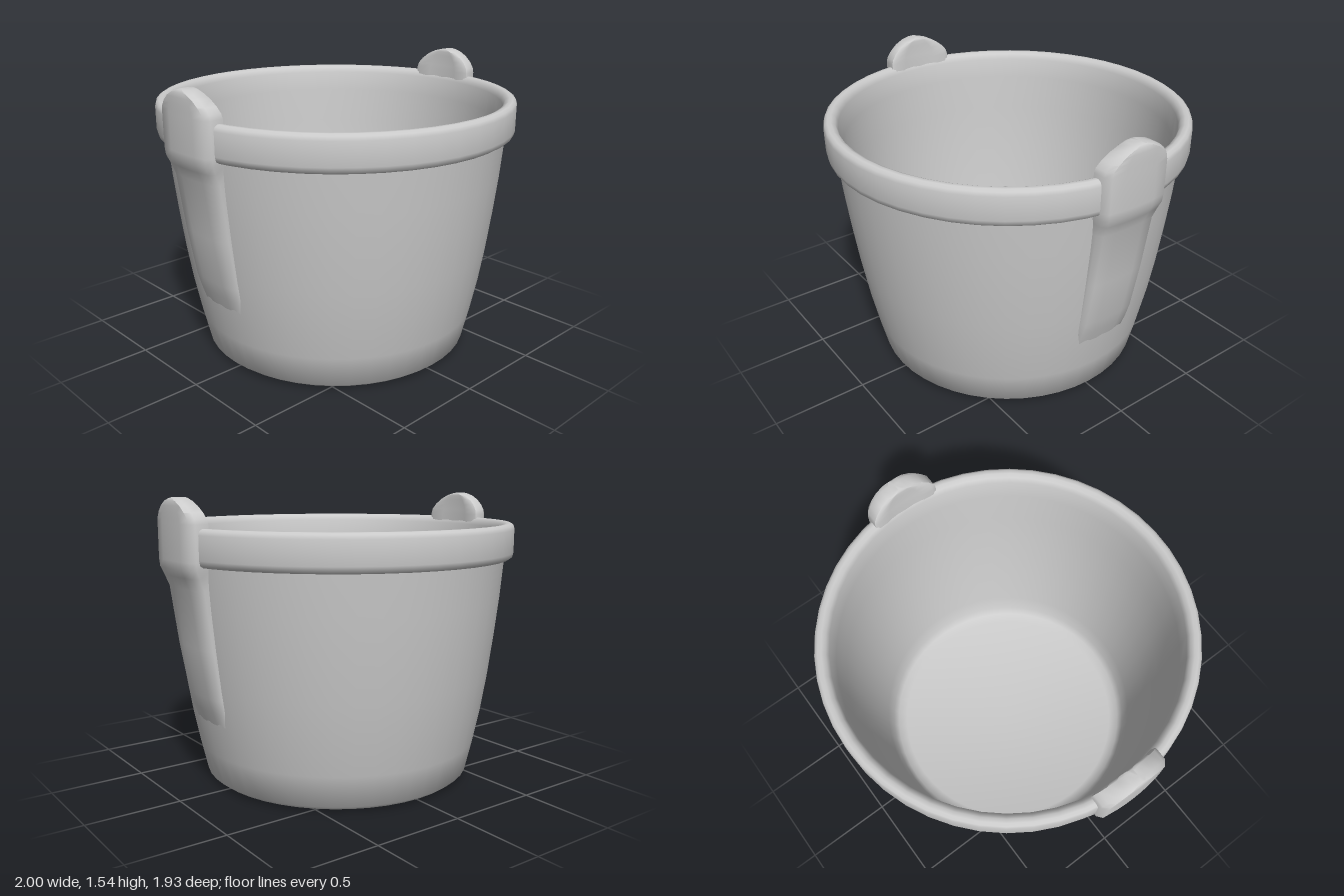
import * as THREE from 'three';
import { toCreasedNormals } from 'three/addons/utils/BufferGeometryUtils.js';

const material = new THREE.MeshStandardMaterial({ color: 0xcccccc });

// Tub: one closed profile, up the outside, over the rim and down the inside.
function tubGeometry() {
  const profile = [
    [0, 0], [0.69, 0], [0.715, 0.008], [0.743, 0.03], [0.782, 0.2], [0.82, 0.39], [0.85, 0.58],
    [0.878, 0.8], [0.9, 1.0], [0.918, 1.215],
    [0.945, 1.215], [0.96, 1.225], [0.966, 1.25], [0.966, 1.37], [0.96, 1.39], [0.945, 1.4],
    [0.925, 1.4], [0.905, 1.39], [0.893, 1.36], [0.88, 1.25],
    [0.865, 1.05], [0.84, 0.8], [0.8, 0.5], [0.755, 0.22], [0.735, 0.11], [0.71, 0.06], [0.66, 0.04], [0, 0.04],
  ].map(([r, y]) => new THREE.Vector2(r, y));
  return toCreasedNormals(new THREE.LatheGeometry(profile, 48), 0.9);
}

// Lug: stacked curved cross-sections, each row is [y, half width, inner radius, outer radius].
function lugGeometry() {
  const rows = [
    [0.38, 0.155, 0.79, 0.815], [0.46, 0.165, 0.805, 0.842], [0.54, 0.168, 0.82, 0.866],
    [0.8, 0.173, 0.86, 0.912], [1.1, 0.178, 0.888, 0.953], [1.16, 0.182, 0.892, 0.978],
    [1.2, 0.19, 0.895, 0.996], [1.24, 0.192, 0.895, 1.0], [1.42, 0.192, 0.9, 1.0],
    [1.445, 0.186, 0.902, 1.0], [1.475, 0.162, 0.904, 1.0], [1.505, 0.125, 0.905, 0.999],
    [1.528, 0.08, 0.906, 0.997], [1.54, 0.04, 0.908, 0.99], [1.545, 0.01, 0.915, 0.98],
  ];
  const position = [], index = [];
  const steps = 8, loop = 2 * (steps + 1);
  for (const [y, w, inner, outer] of rows) {
    const bevel = Math.min(0.022, (outer - inner) * 0.4);
    for (let i = 0; i < loop; i++) {
      const onOuter = i <= steps;
      const t = onOuter ? (i / steps) * 2 - 1 : 1 - ((i - steps - 1) / steps) * 2;
      // end points drop back and the next ones move out to round the corners
      const edge = Math.abs(t) === 1;
      const z = w * (edge ? t : t * (1 + (1 - bevel / Math.max(w, 0.05) - 0.75) / 0.75 * (Math.abs(t) > 0.7 ? 1 : 0)));
      const r = onOuter ? outer - (edge ? bevel : 0) : inner + (edge ? bevel * 0.5 : 0);
      position.push(Math.sqrt(r * r - z * z), y, z);
    }
  }
  for (let j = 0; j < rows.length - 1; j++) {
    for (let i = 0; i < loop; i++) {
      const a = j * loop + i, b = j * loop + (i + 1) % loop;
      index.push(a, a + loop, b, b, a + loop, b + loop);
    }
  }
  // end caps
  const top = (rows.length - 1) * loop;
  for (let i = 1; i < loop - 1; i++) {
    index.push(0, i, i + 1);
    index.push(top, top + i + 1, top + i);
  }
  const geometry = new THREE.BufferGeometry();
  geometry.setAttribute('position', new THREE.Float32BufferAttribute(position, 3));
  geometry.setIndex(index);
  return toCreasedNormals(geometry, 0.9);
}

export function createModel() {
  const group = new THREE.Group();
  group.name = 'bucket';

  const tub = new THREE.Mesh(tubGeometry(), material);
  tub.name = 'tub';
  group.add(tub);

  // Matching handle lugs on the left and right
  const geometry = lugGeometry();
  for (const [name, angle] of [['leftLug', 0], ['rightLug', Math.PI]]) {
    const lug = new THREE.Mesh(geometry, material);
    lug.name = name;
    lug.rotation.y = angle;
    group.add(lug);
  }
  return group;
}
